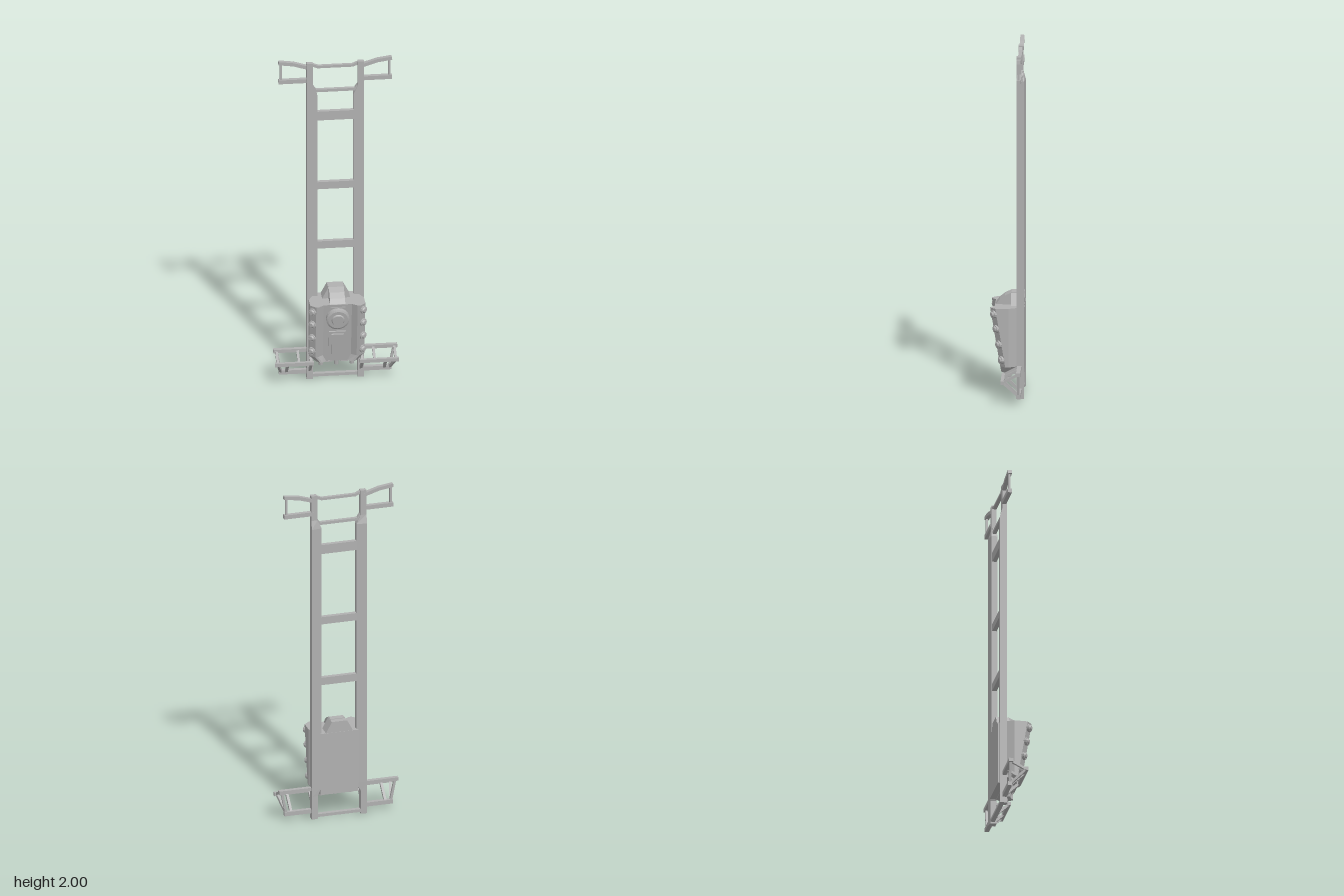
import * as THREE from 'three';

const grey = new THREE.MeshStandardMaterial({ color: 0xb0b0b0, flatShading: true });
grey.name = 'grey';

function add(parent, name, geometry, x = 0, y = 0, z = 0) {
  const m = new THREE.Mesh(geometry, grey);
  m.name = name;
  m.position.set(x, y, z);
  parent.add(m);
  return m;
}

// box given by its limits
function box(parent, name, x0, x1, y0, y1, z0, z1) {
  return add(parent, name, new THREE.BoxGeometry(x1 - x0, y1 - y0, z1 - z0),
    (x0 + x1) / 2, (y0 + y1) / 2, (z0 + z1) / 2);
}

// square bar between two points
function beam(parent, name, a, b, w, h = w) {
  const A = new THREE.Vector3(...a), B = new THREE.Vector3(...b);
  const m = add(parent, name, new THREE.BoxGeometry(w, h, A.distanceTo(B)));
  m.position.copy(A).add(B).multiplyScalar(0.5);
  m.lookAt(B);
  return m;
}

// closed skin through rings stacked upwards; rings run back, +x, front, -x
function loft(rings, centers) {
  const pos = [], n = rings[0].length;
  const mid = r => [0, 1, 2].map(k => r.reduce((s, p) => s + p[k], 0) / n);
  for (let j = 0; j < rings.length - 1; j++) {
    const lo = rings[j], hi = rings[j + 1];
    for (let i = 0; i < n; i++) {
      const k = (i + 1) % n;
      pos.push(...lo[i], ...hi[i], ...lo[k], ...lo[k], ...hi[i], ...hi[k]);
    }
  }
  const bottom = rings[0], top = rings[rings.length - 1];
  const cb = centers ? centers[0] : mid(bottom), ct = centers ? centers[1] : mid(top);
  for (let i = 0; i < n; i++) {
    const k = (i + 1) % n;
    pos.push(...cb, ...bottom[i], ...bottom[k], ...ct, ...top[k], ...top[i]);
  }
  const g = new THREE.BufferGeometry();
  g.setAttribute('position', new THREE.Float32BufferAttribute(pos, 3));
  g.computeVertexNormals();
  return g;
}

// side rail, narrowing at both ends
function rail(s) {
  const levels = [ // y, inner x, outer back z, inner back z
    [0, 0.127, -0.097, -0.09], [0.14, 0.127, -0.097, -0.09], [0.19, 0.103, -0.097, -0.088],
    [1.78, 0.103, -0.097, -0.088], [1.83, 0.127, -0.083, -0.083], [1.98, 0.127, -0.083, -0.083]];
  return loft(levels.map(([y, xi, zo, zi]) => {
    const ring = [[s * xi, y, zi], [s * 0.163, y, zo], [s * 0.163, y, -0.055], [s * xi, y, -0.055]];
    return s > 0 ? ring : ring.reverse();
  }));
}

// machine housing, its front leaning back towards the bottom
function housing() {
  const half = [[0, -0.06], [0.13, -0.06], [0.157, -0.01], [0.157, 0.065],
    [0.125, 0.095], [0.11, 0.092], [0.08, 0.07], [0, 0.07]];
  const outline = [...half, ...half.slice(1, -1).reverse().map(([x, z]) => [-x, z])];
  const ring = (y, sx) => outline.map(([x, z]) =>
    [x * sx, y, z > 0 ? z + (y - 0.52) * 0.165 : z]);
  return loft([ring(0.14, 0.76), ring(0.18, 1), ring(0.52, 1)], [[0, 0.14, -0.058], [0, 0.52, 0.005]]);
}

// shape in (z, y) swept over a width in x
function sideProfile(points, width) {
  const g = new THREE.ExtrudeGeometry(
    new THREE.Shape(points.map(([z, y]) => new THREE.Vector2(-z, y))),
    { depth: width, bevelEnabled: false });
  return g.translate(0, 0, -width / 2).rotateY(Math.PI / 2);
}

export function createModel() {
  const model = new THREE.Group();
  model.name = 'ladderRailWithMachine';

  // ladder rungs and thin end bars
  const frame = new THREE.Group();
  frame.name = 'ladderFrame';
  model.add(frame);
  for (const [y0, y1] of [[1.62, 1.675], [1.188, 1.232], [0.815, 0.86]])
    box(frame, 'rung', -0.108, 0.108, y0, y1, -0.085, -0.06);
  box(frame, 'upperTie', -0.13, 0.13, 1.798, 1.814, -0.081, -0.06);
  box(frame, 'topTie', -0.105, 0.105, 1.948, 1.963, -0.08, -0.06);
  box(frame, 'bottomTie', -0.13, 0.13, 0.01, 0.027, -0.09, -0.065);

  for (const s of [1, -1]) {
    add(frame, 'rail', rail(s));
    beam(frame, 'topTieEnd', [s * 0.1, 1.956, -0.07], [s * 0.135, 1.97, -0.07], 0.02, 0.015);
    beam(frame, 'tieGusset', [s * 0.112, 1.805, -0.07], [s * 0.132, 1.835, -0.07], 0.02, 0.014);

    // upper side bracket
    const bracket = new THREE.Group();
    bracket.name = 'upperBracket';
    model.add(bracket);
    const z = -0.072;
    beam(bracket, 'lowerArm', [s * 0.15, 1.871, z], [s * 0.322, 1.871, z], 0.024, 0.024);
    beam(bracket, 'innerArm', [s * 0.15, 1.95, z], [s * 0.24, 1.978, z], 0.024, 0.02);
    beam(bracket, 'outerArm', [s * 0.235, 1.977, z], [s * 0.322, 1.989, z], 0.024, 0.02);
    beam(bracket, 'post', [s * 0.308, 1.87, z], [s * 0.308, 1.985, z], 0.012);

    // lower triangular truss: back, front and bottom chords with struts
    const truss = new THREE.Group();
    truss.name = 'lowerTruss';
    model.add(truss);
    const back = x => [s * x, 0.181, -0.071];
    const front = x => [s * x, 0.135, 0.019];
    const low = x => [s * x, 0.047, -0.071];
    beam(truss, 'backChord', back(0.15), back(0.352), 0.024, 0.02);
    beam(truss, 'frontChord', front(0.13), front(0.352), 0.019, 0.02);
    beam(truss, 'bottomChord', low(0.15), low(0.32), 0.024, 0.024);
    for (const x of [0.145, 0.215, 0.335]) beam(truss, 'topStrut', back(x), front(x), 0.014);
    for (const x of [0.145, 0.278]) beam(truss, 'lowerStrut', front(x), low(x), 0.015);
    beam(truss, 'outerStrut', back(0.335), low(0.308), 0.014);
    beam(truss, 'frontOuterStrut', front(0.335), low(0.308), 0.014);
  }

  // machine body
  const machine = new THREE.Group();
  machine.name = 'machine';
  model.add(machine);
  add(machine, 'housing', housing());
  box(machine, 'backPlate', -0.112, 0.112, 0.145, 0.52, -0.097, -0.055);

  // hump and the strap running from it down the front
  const hump = new THREE.Shape([[-0.082, 0.515], [0.082, 0.515], [0.045, 0.585], [-0.045, 0.585]]
    .map(p => new THREE.Vector2(...p)));
  add(machine, 'hump', new THREE.ExtrudeGeometry(hump, { depth: 0.075, bevelEnabled: false }), 0, 0, -0.095);
  add(machine, 'strap', sideProfile([[-0.06, 0.5], [-0.06, 0.588], [-0.022, 0.588], [0.015, 0.571],
    [0.045, 0.547], [0.066, 0.52], [0.068, 0.5]], 0.086));

  // tilted front panel fittings
  const panel = new THREE.Group();
  panel.name = 'frontPanel';
  panel.position.set(0, 0.52, 0.07);
  panel.rotation.x = Math.atan(0.165);
  machine.add(panel);
  const disc = (name, r0, r1, h, z) =>
    add(panel, name, new THREE.CylinderGeometry(r0, r1, h, 32).rotateX(Math.PI / 2), 0, -0.09, z);
  disc('discBase', 0.066, 0.066, 0.02, 0.009);
  disc('discRim', 0.056, 0.066, 0.005, 0.0215);
  disc('discHub', 0.032, 0.038, 0.01, 0.027);
  box(panel, 'slotBase', -0.048, 0.048, -0.36, -0.18, -0.01, 0.009);
  box(panel, 'slotCover', -0.034, 0.034, -0.36, -0.193, 0, 0.019);

  // studs on the chamfered front edges
  for (const s of [1, -1]) for (const y of [0.22, 0.31, 0.4, 0.485]) {
    const stud = new THREE.Group();
    stud.name = 'stud';
    stud.position.set(s * 0.14, y, 0.077 + (y - 0.52) * 0.165);
    stud.rotation.y = s * 0.65;
    machine.add(stud);
    add(stud, 'studBase', new THREE.CylinderGeometry(0.022, 0.024, 0.02, 12).rotateX(Math.PI / 2), 0, 0, 0.004);
    add(stud, 'studCap', new THREE.CylinderGeometry(0.011, 0.018, 0.008, 12).rotateX(Math.PI / 2), 0, 0, 0.018);
  }

  // nozzles and fins underneath
  for (const x of [-0.088, 0, 0.088])
    add(machine, 'nozzle', new THREE.CylinderGeometry(0.016, 0.012, 0.04, 10), x, 0.13, -0.012);
  for (const x of [-0.045, 0.045]) {
    box(machine, 'fin', x - 0.022, x + 0.022, 0.125, 0.131, -0.045, -0.01);
    box(machine, 'finStem', x - 0.005, x + 0.005, 0.125, 0.15, -0.035, -0.02);
  }
  return model;
}
